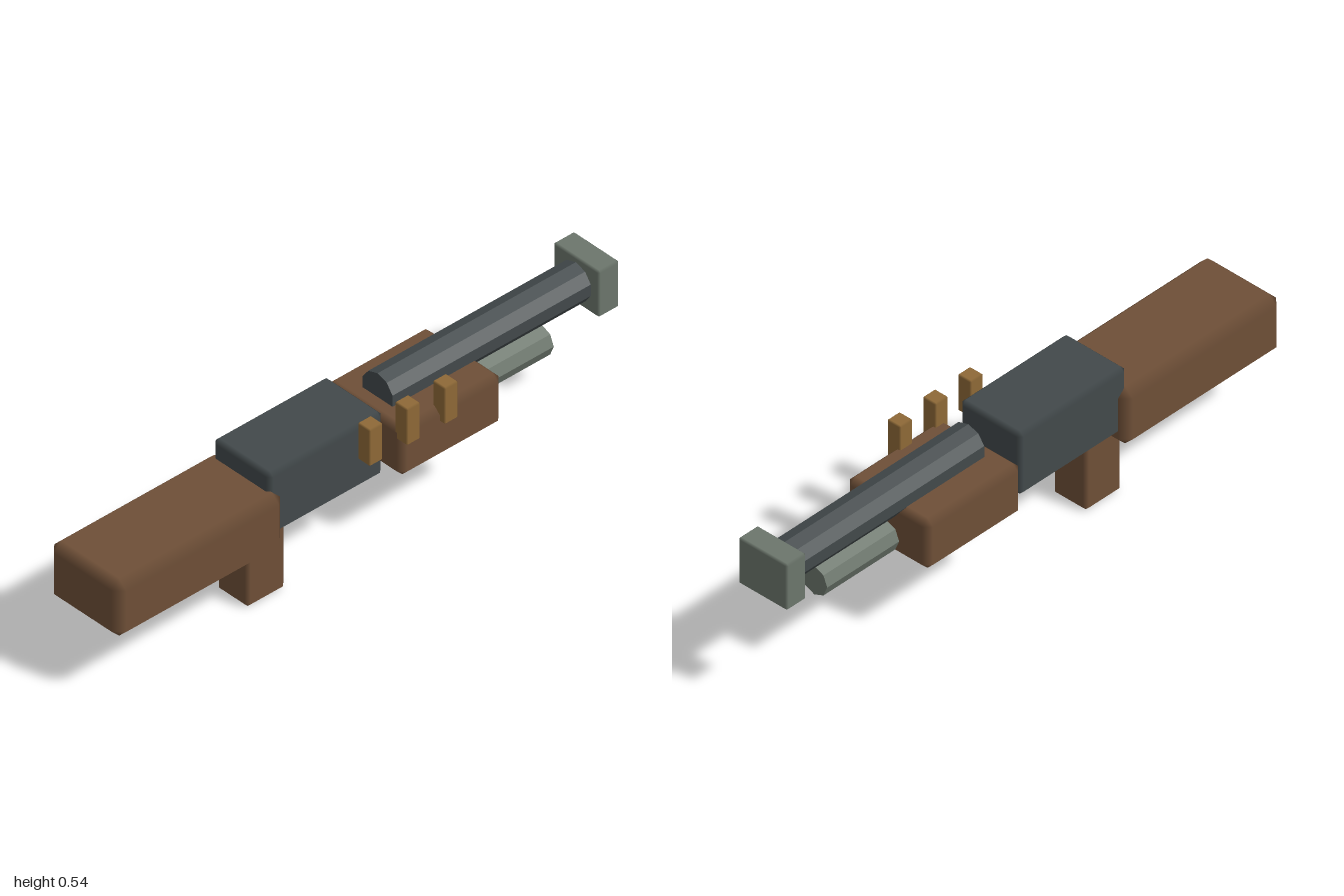
import * as THREE from 'three';

// Box with a single chamfer on every edge; normals follow the flat faces so bevels shade softly
function chamferBox(size, r) {
  const pos = [], nor = [], index = [];
  const signs = [-1, 1];
  // vertex on the face of axis a, nearest corner s
  const id = (s, a) => ((s[0] > 0 ? 4 : 0) + (s[1] > 0 ? 2 : 0) + (s[2] > 0 ? 1 : 0)) * 3 + a;
  for (const x of signs) for (const y of signs) for (const z of signs) {
    const s = [x, y, z];
    for (let a = 0; a < 3; a++) {
      pos.push(...s.map((v, i) => v * (size[i] / 2 - (i === a ? 0 : r))));
      nor.push(...s.map((v, i) => (i === a ? v : 0)));
    }
  }
  const point = (i) => new THREE.Vector3().fromArray(pos, i * 3);
  const tri = (a, b, c) => {
    const pa = point(a), pb = point(b), pc = point(c);
    const n = pb.clone().sub(pa).cross(pc.clone().sub(pa));
    if (n.dot(pa.add(pb).add(pc)) > 0) index.push(a, b, c);
    else index.push(a, c, b);
  };
  const quad = (a, b, c, d) => { tri(a, b, c); tri(a, c, d); };
  const corner = (a, sa, b, sb, c, sc) => {
    const s = [0, 0, 0];
    s[a] = sa; s[b] = sb; s[c] = sc;
    return s;
  };
  for (let a = 0; a < 3; a++) {
    const b = (a + 1) % 3, c = (a + 2) % 3;
    for (const u of signs) {
      // flat face
      quad(...[[-1, -1], [1, -1], [1, 1], [-1, 1]].map(([p, q]) => id(corner(a, u, b, p, c, q), a)));
      // edge bevels running along axis c
      for (const v of signs) {
        const s0 = corner(a, u, b, v, c, -1), s1 = corner(a, u, b, v, c, 1);
        quad(id(s0, a), id(s1, a), id(s1, b), id(s0, b));
      }
    }
  }
  // corner triangles
  for (const x of signs) for (const y of signs) for (const z of signs) {
    const s = [x, y, z];
    tri(id(s, 0), id(s, 1), id(s, 2));
  }
  const g = new THREE.BufferGeometry();
  g.setAttribute('position', new THREE.Float32BufferAttribute(pos, 3));
  g.setAttribute('normal', new THREE.Float32BufferAttribute(nor, 3));
  g.setIndex(index);
  return g;
}

export function createModel() {
  const model = new THREE.Group();
  const material = (name, color, flatShading = false) => {
    const m = new THREE.MeshStandardMaterial({ color, flatShading });
    m.name = name;
    return m;
  };
  const wood = material('wood', 0x6e4f37);
  const steel = material('dark steel', 0x42494b);
  const metal = material('grey metal', 0x6c766c);
  const brass = material('brass', 0x8e6937);
  const midX = -0.011;

  const add = (name, geometry, mat, x, y, z) => {
    const mesh = new THREE.Mesh(geometry, mat);
    mesh.name = name;
    mesh.position.set(x, y, z);
    model.add(mesh);
  };
  // Box given by its centre x, width and its y and z limits
  const box = (name, mat, x, w, y0, y1, z0, z1, r) =>
    add(name, chamferBox([w, y1 - y0, z1 - z0], r), mat, x, (y0 + y1) / 2, (z0 + z1) / 2);
  // Faceted rod along z with one vertex pointing up
  const rod = (name, mat, radius, sides, y, z0, z1) => {
    const g = new THREE.CylinderGeometry(radius, radius, z1 - z0, sides).toNonIndexed();
    g.rotateX(-Math.PI / 2);
    g.computeVertexNormals();
    add(name, g, mat, midX, y, (z0 + z1) / 2);
  };

  // Wooden furniture
  box('stock', wood, midX, 0.302, 0.221, 0.427, 0.345, 1, 0.03);
  box('grip', wood, midX, 0.133, 0, 0.285, 0.27, 0.42, 0.012);
  box('foreEnd', wood, midX, 0.326, 0.252, 0.432, -0.487, -0.09, 0.022);

  // Metal body
  box('receiver', steel, midX, 0.242, 0.266, 0.493, -0.06, 0.385, 0.015);
  rod('barrel', steel, 0.066, 10, 0.451, -0.93, -0.147);
  rod('magazineTube', metal, 0.051, 8, 0.311, -0.785, -0.2);
  box('muzzleBlock', metal, midX, 0.193, 0.368, 0.535, -1, -0.918, 0.007);

  // Spare shells along the left side
  for (const z of [0.027, -0.118, -0.265]) {
    box('spareShell', brass, 0.1465, 0.053, 0.386, 0.518, z - 0.0265, z + 0.0265, 0.005);
  }
  return model;
}
